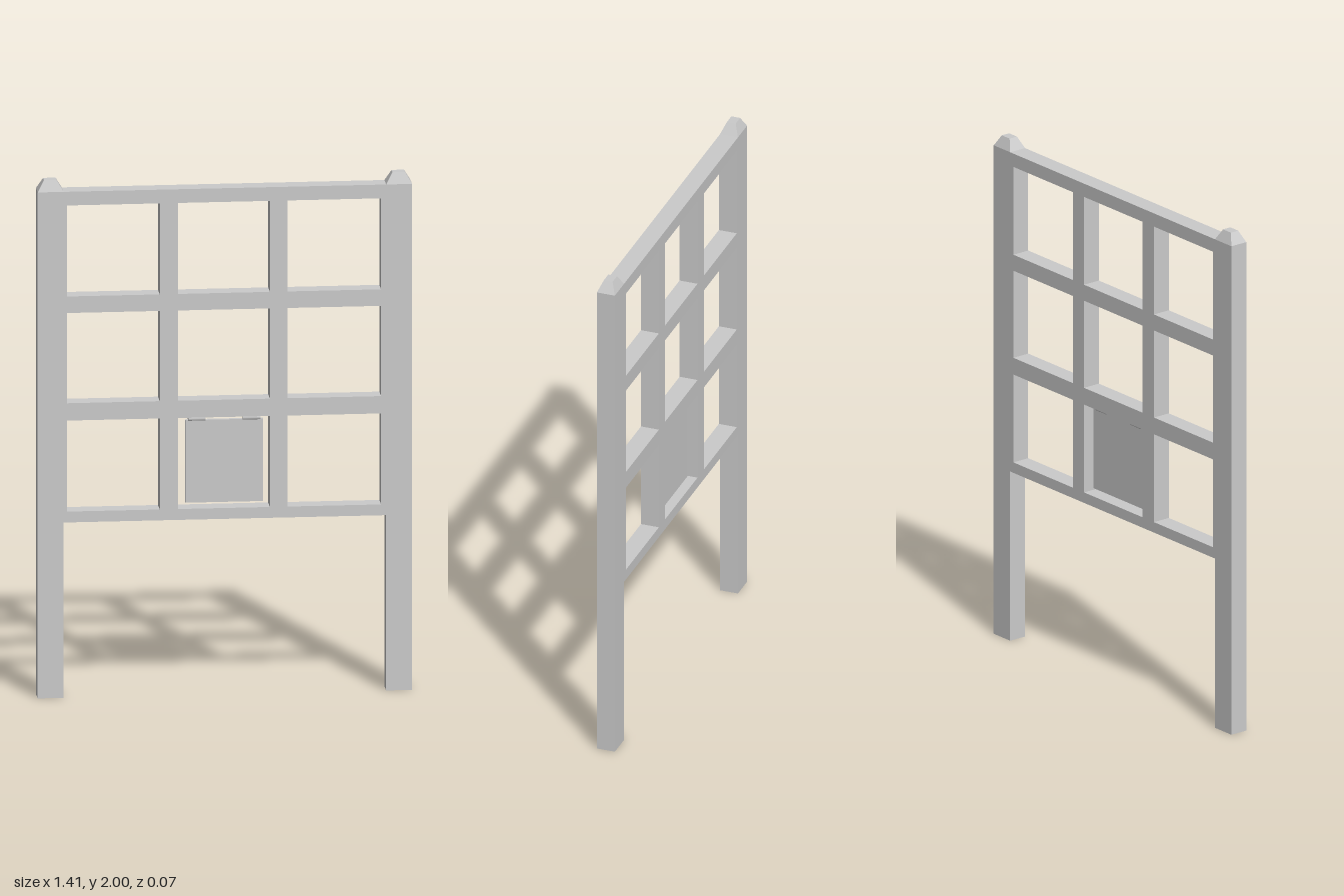
import * as THREE from 'three';

const DEPTH = 0.072;
const material = new THREE.MeshStandardMaterial({ color: 0xcccccc, flatShading: true });
const smooth = new THREE.MeshStandardMaterial({ color: 0xcccccc });

function part(parent, name, geometry, x = 0, y = 0, z = 0, mat = material) {
  const mesh = new THREE.Mesh(geometry, mat);
  mesh.name = name;
  mesh.position.set(x, y, z);
  parent.add(mesh);
  return mesh;
}

// Closed rectangular outline
function rect(PathType, x0, x1, y0, y1) {
  const path = new PathType();
  path.moveTo(x0, y0).lineTo(x1, y0).lineTo(x1, y1).lineTo(x0, y1).closePath();
  return path;
}

// Post with a tapered, flat-topped tip, as one closed body
function postGeometry(width) {
  const bodyTop = 1.957;
  const geometry = new THREE.BoxGeometry(width, 2, DEPTH, 1, 2, 1).translate(0, 1, 0);
  const p = geometry.attributes.position;
  for (let i = 0; i < p.count; i++) {
    const y = p.getY(i);
    if (y > 1.5) p.setXYZ(i, p.getX(i) * 0.48, 2, p.getZ(i) * 0.49);
    else if (y > 0.5) p.setY(i, bodyTop);
  }
  geometry.computeVertexNormals();
  return geometry;
}

export function createModel() {
  const model = new THREE.Group();
  model.name = 'latticeGate';

  // Side posts
  const postWidth = 0.098;
  for (const side of [-1, 1]) {
    part(model, side > 0 ? 'leftPost' : 'rightPost', postGeometry(postWidth), side * 0.658);
  }

  // Lattice frame with nine openings
  const columns = [[-0.597, -0.246], [-0.177, 0.17], [0.236, 0.59]];
  const rows = [[0.72, 1.072], [1.139, 1.488], [1.552, 1.904]];
  const outline = rect(THREE.Shape, -0.609, 0.609, 0.678, 1.957);
  for (const [x0, x1] of columns) {
    for (const [y0, y1] of rows) outline.holes.push(rect(THREE.Path, x0, x1, y0, y1));
  }
  const frame = new THREE.ExtrudeGeometry(outline, { depth: DEPTH, bevelEnabled: false });
  part(model, 'latticeFrame', frame, 0, 0, -DEPTH / 2);

  // Hanging flap in the lower middle opening
  part(model, 'flap', new THREE.BoxGeometry(0.294, 0.319, 0.016), 0, 0.8965, 0);

  // Hinge barrels
  for (const side of [-1, 1]) {
    const barrel = new THREE.CylinderGeometry(0.011, 0.011, 0.066, 24).rotateZ(Math.PI / 2);
    part(model, side > 0 ? 'leftHinge' : 'rightHinge', barrel, side * 0.103, 1.061, 0, smooth);
  }

  return model;
}
